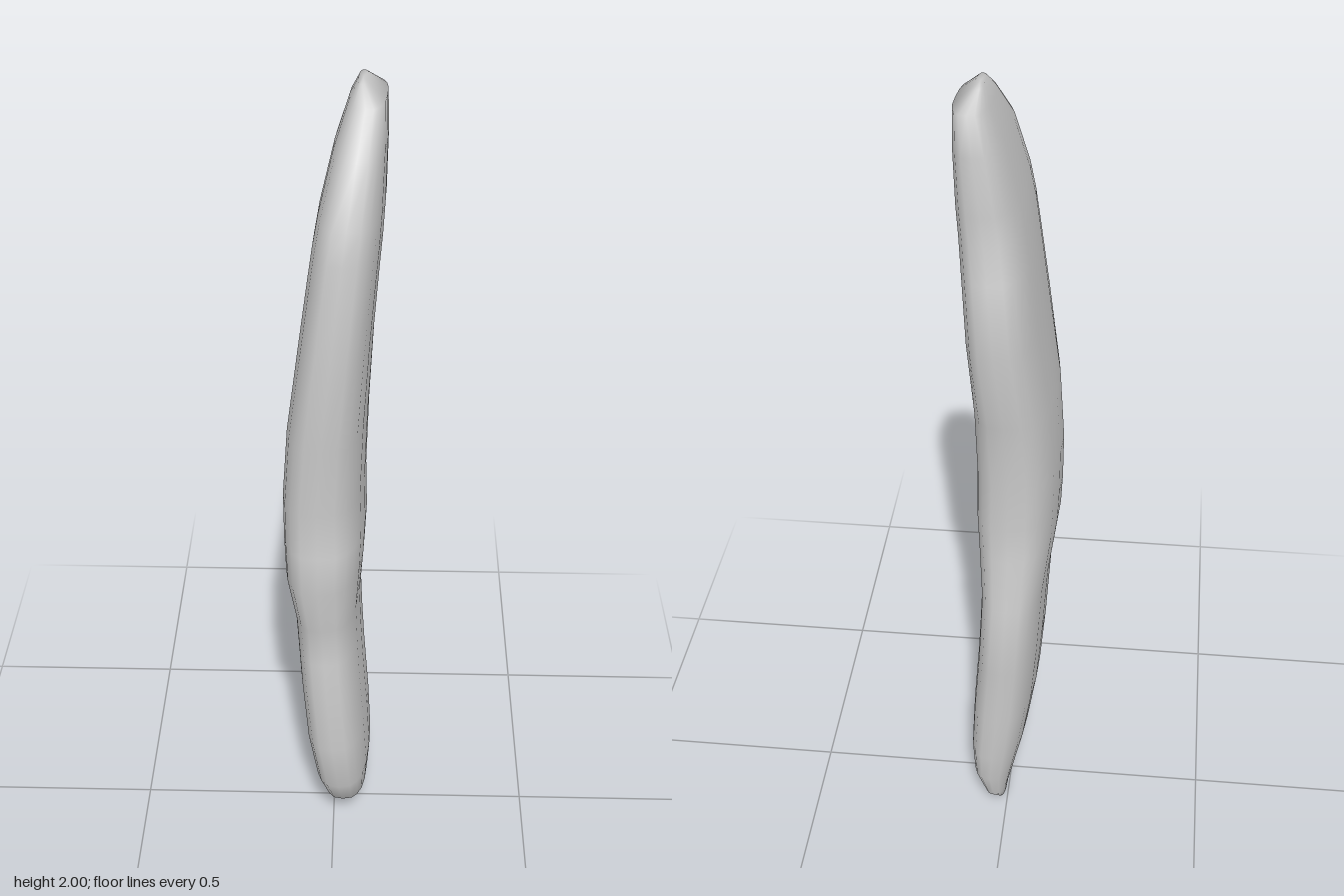
import * as THREE from 'three';

// Slab cross-sections, bottom to top: y, left edge, right edge (x), back edge, front edge (z)
const SECTIONS = [
  [0.0, 0.005, 0.03, -0.11, 0.0],
  [0.03, 0.0, 0.058, -0.135, 0.045],
  [0.1, -0.02, 0.087, -0.148, 0.12],
  [0.19, -0.042, 0.092, -0.162, 0.17],
  [0.33, -0.064, 0.085, -0.167, 0.186],
  [0.5, -0.078, 0.072, -0.174, 0.184],
  [0.6, -0.084, 0.066, -0.18, 0.178],
  [0.7, -0.09, 0.062, -0.168, 0.17],
  [0.84, -0.109, 0.07, -0.147, 0.208],
  [0.93, -0.113, 0.074, -0.14, 0.19],
  [1.05, -0.114, 0.071, -0.146, 0.187],
  [1.23, -0.102, 0.076, -0.156, 0.2],
  [1.44, -0.075, 0.087, -0.205, 0.21],
  [1.6, -0.054, 0.098, -0.172, 0.197],
  [1.68, -0.043, 0.104, -0.152, 0.19],
  [1.75, -0.031, 0.108, -0.153, 0.178],
  [1.88, 0.0, 0.111, -0.148, 0.128],
  [1.965, 0.03, 0.109, -0.133, 0.05],
  [2.0, 0.048, 0.068, -0.085, 0.0],
];
const SIDES = 20;

// Rounded-rectangle ring, leaning so the back sits further toward +x
function ring([y, x0, x1, z0, z1]) {
  const soft = (v) => Math.sign(v) * Math.pow(Math.abs(v), 0.72);
  const lean = (x1 - x0) * 0.08;
  return Array.from({ length: SIDES }, (_, j) => {
    const a = (j / SIDES) * Math.PI * 2;
    const c = soft(Math.cos(a)), s = soft(Math.sin(a));
    return [(x0 + x1) / 2 + c * (x1 - x0) / 2 - s * lean, y, (z0 + z1) / 2 + s * (z1 - z0) / 2];
  });
}

function loft(sections) {
  const points = sections.flatMap(ring);
  const index = [];
  const last = (sections.length - 1) * SIDES;
  for (let j = 0; j < SIDES; j++) {
    const k = (j + 1) % SIDES;
    for (let r = 0; r < last; r += SIDES) {
      const a = r + j, b = r + k, c = a + SIDES, d = b + SIDES;
      index.push(a, c, b, b, c, d);
    }
    // End caps
    index.push(points.length, j, k, points.length + 1, last + k, last + j);
  }
  for (const [y, x0, x1, z0, z1] of [sections[0], sections.at(-1)]) {
    points.push([(x0 + x1) / 2, y, (z0 + z1) / 2]);
  }
  const geometry = new THREE.BufferGeometry();
  geometry.setAttribute('position', new THREE.Float32BufferAttribute(points.flat(), 3));
  geometry.setIndex(index);
  geometry.computeVertexNormals();
  return geometry;
}

export function createModel() {
  const group = new THREE.Group();
  const slab = new THREE.Mesh(loft(SECTIONS), new THREE.MeshStandardMaterial({ color: 0xcccccc }));
  slab.name = 'standingStone';
  group.add(slab);
  return group;
}
